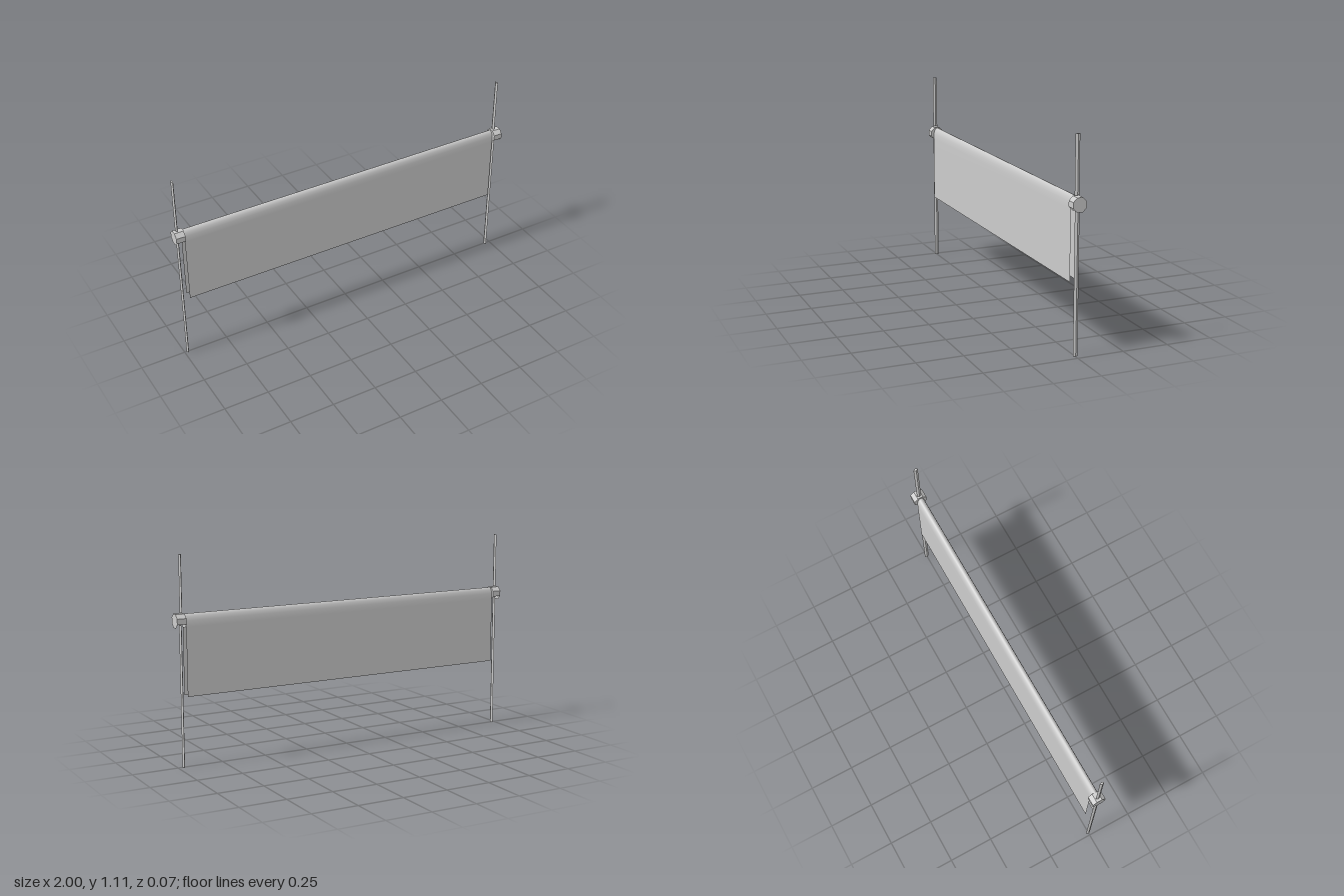
import * as THREE from 'three';

const mat = new THREE.MeshStandardMaterial({ color: 0xcccccc, side: THREE.DoubleSide });
const flatMat = new THREE.MeshStandardMaterial({ color: 0xcccccc, side: THREE.DoubleSide, flatShading: true });

function add(parent, name, geometry, material = flatMat) {
  const mesh = new THREE.Mesh(geometry, material);
  mesh.name = name;
  parent.add(mesh);
  return mesh;
}

// Thin four-sided cord running between two heights
function cord(parent, name, x, y0, y1) {
  const mesh = add(parent, name, new THREE.CylinderGeometry(1, 1, y1 - y0, 4));
  mesh.scale.set(0.007, 1, 0.0125);
  mesh.position.set(x, (y0 + y1) / 2, 0);
}

// Octagonal end knob: two discs joined by side faces, open below for the cord
function knob(parent, name, x) {
  const group = new THREE.Group();
  group.name = name;
  group.position.set(x, 0.771, 0);
  const r = 0.0395, length = 0.05, step = Math.PI / 4;
  for (const side of [-1, 1]) {
    const disc = add(group, 'knobDisc', new THREE.CircleGeometry(r, 8, step / 2));
    disc.rotation.y = side * Math.PI / 2;
    disc.position.x = side * length / 2;
  }
  const shell = new THREE.CylinderGeometry(r, r, length, 5, 1, true, -2.5 * step, 5 * step);
  shell.rotateY(-Math.PI / 2); // arc centre to -x
  shell.rotateZ(-Math.PI / 2); // axis along x, arc centre up
  add(group, 'knobShell', shell);
  parent.add(group);
}

// Sheet draped over the rod, hanging equally front and back
function drapedSheet(width, x) {
  const half = [[0.023, 0.376], [0.023, 0.62], [0.0225, 0.74], [0.021, 0.772], [0.016, 0.792], [0.008, 0.803]];
  const profile = [...half, [0, 0.806], ...half.map(([z, y]) => [-z, y]).reverse()];
  const geometry = new THREE.PlaneGeometry(1, 1, 1, profile.length - 1);
  const pos = geometry.attributes.position;
  for (let i = 0; i < pos.count; i++) {
    // rows run from the back hem over the top to the front hem
    const [z, y] = profile[profile.length - 1 - Math.floor(i / 2)];
    pos.setXYZ(i, x + (i % 2 - 0.5) * width, y, z);
  }
  geometry.computeVertexNormals();
  return geometry;
}

export function createModel() {
  const model = new THREE.Group();
  model.name = 'hangingSheet';

  add(model, 'sheet', drapedSheet(1.897, -0.002), mat);

  // Rod hidden inside the fold
  const rod = add(model, 'rod', new THREE.CylinderGeometry(0.018, 0.018, 1.9, 8));
  rod.rotation.z = Math.PI / 2;
  rod.position.y = 0.771;

  knob(model, 'rightKnob', -0.975);
  knob(model, 'leftKnob', 0.975);

  cord(model, 'rightUpperCord', -0.982, 0.812, 1.11);
  cord(model, 'rightLowerCord', -0.982, 0, 0.747);
  cord(model, 'leftUpperCord', 0.964, 0.812, 1.11);
  cord(model, 'leftLowerCord', 0.969, 0, 0.747);
  return model;
}
